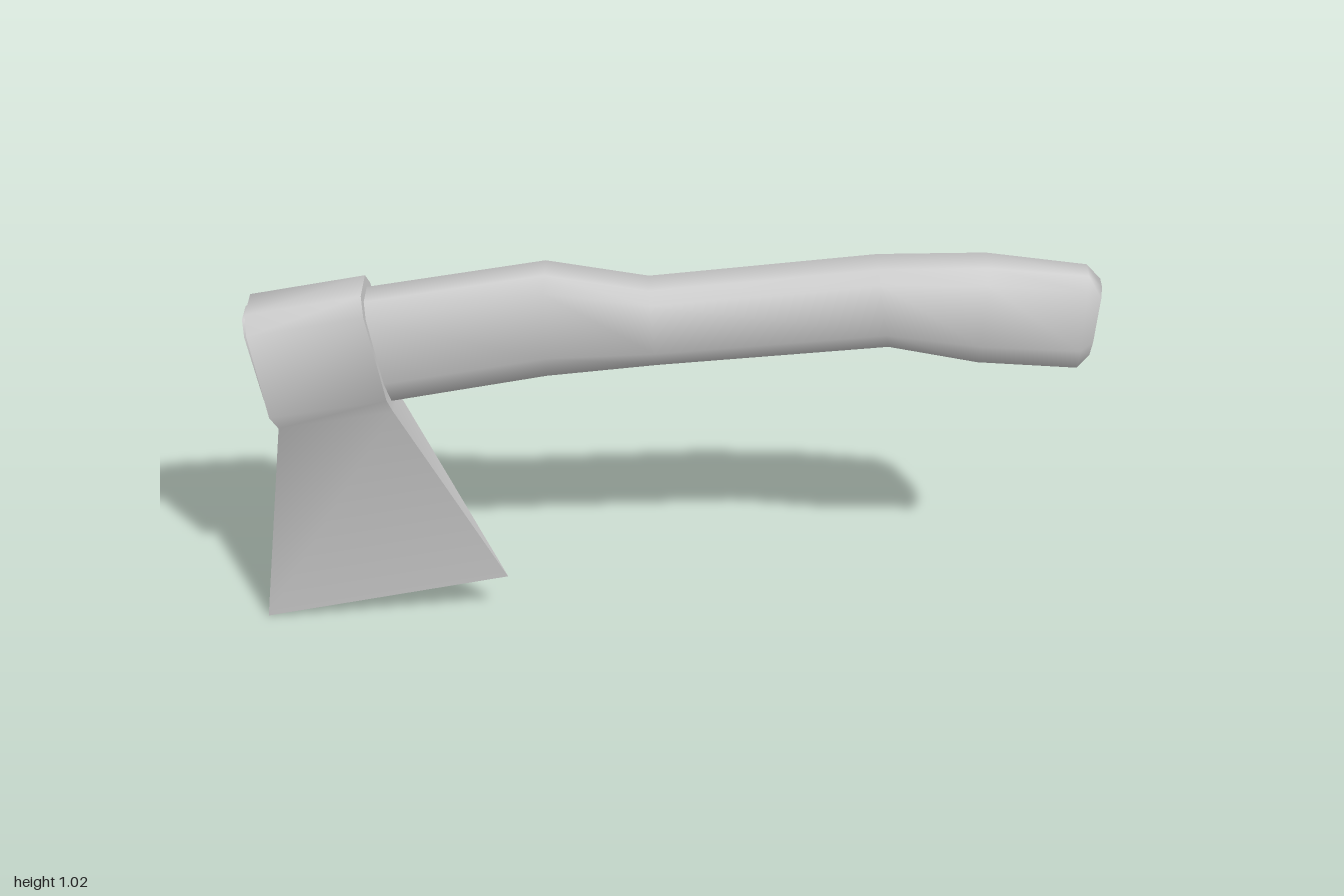
import * as THREE from 'three';
import { toCreasedNormals } from 'three/addons/utils/BufferGeometryUtils.js';

const material = new THREE.MeshStandardMaterial({ color: 0xcccccc });

// Skin a list of equal-length rings (counter-clockwise about the direction of travel), capped at both ends
function loft(name, rings, crease) {
  const n = rings[0].length;
  const last = (rings.length - 1) * n;
  const index = [];
  for (let i = 0; i < rings.length - 1; i++) {
    for (let j = 0; j < n; j++) {
      const a = i * n + j, b = i * n + (j + 1) % n;
      index.push(a, b, b + n, a, b + n, a + n);
    }
  }
  for (let j = 1; j < n - 1; j++) {
    index.push(0, j + 1, j, last, last + j, last + j + 1);
  }
  const geometry = new THREE.BufferGeometry();
  geometry.setAttribute('position', new THREE.Float32BufferAttribute(rings.flat(2), 3));
  geometry.setIndex(index);
  const mesh = new THREE.Mesh(toCreasedNormals(geometry, crease), material);
  mesh.name = name;
  return mesh;
}

// Rectangle between a back point and a front point of the head, with half thickness w
const headRing = ([bx, by, fx, fy, w]) => [[bx, by, w], [fx, fy, w], [fx, fy, -w], [bx, by, -w]];

// Eight-sided handle section between a top and a bottom point; the lower chamfer is longer
function handleRing([tx, ty, bx, by, w]) {
  const half = [[0, 0.55], [0.12, 1], [0.76, 1], [1, 0.52]];
  const at = (t, z) => [tx + (bx - tx) * t, ty + (by - ty) * t, z * w];
  return [
    ...half.map(([t, z]) => at(t, z)),
    ...half.slice().reverse().map(([t, z]) => at(t, -z)),
  ];
}

export function createModel() {
  const group = new THREE.Group();
  group.name = 'axe';

  // Head: cutting edge, neck, eye and chamfered top, from the bottom up
  const head = [
    [-1, 0, -0.4, 0.125, 0.001],
    [-0.93, 0.58, -0.655, 0.63, 0.05],
    [-0.945, 0.63, -0.665, 0.68, 0.083],
    [-0.983, 0.852, -0.708, 0.905, 0.083],
    [-0.988, 0.89, -0.715, 0.943, 0.05],
  ].map(headRing);
  group.add(loft('axeHead', head, 0.9));

  // Handle: from the butt poking out of the eye to the rounded grip end
  const handle = [
    [-0.998, 0.868, -0.945, 0.6, 0.06],
    [-0.71, 0.92, -0.66, 0.65, 0.065],
    [-0.29, 0.994, -0.29, 0.723, 0.066],
    [-0.05, 0.955, -0.03, 0.755, 0.066],
    [0.48, 1.016, 0.51, 0.81, 0.069],
    [0.73, 1.022, 0.72, 0.77, 0.069],
    [0.965, 0.998, 0.953, 0.752, 0.052],
    [0.998, 0.965, 0.982, 0.782, 0.036],
  ].map(handleRing);
  group.add(loft('handle', handle, 1.2));

  return group;
}
